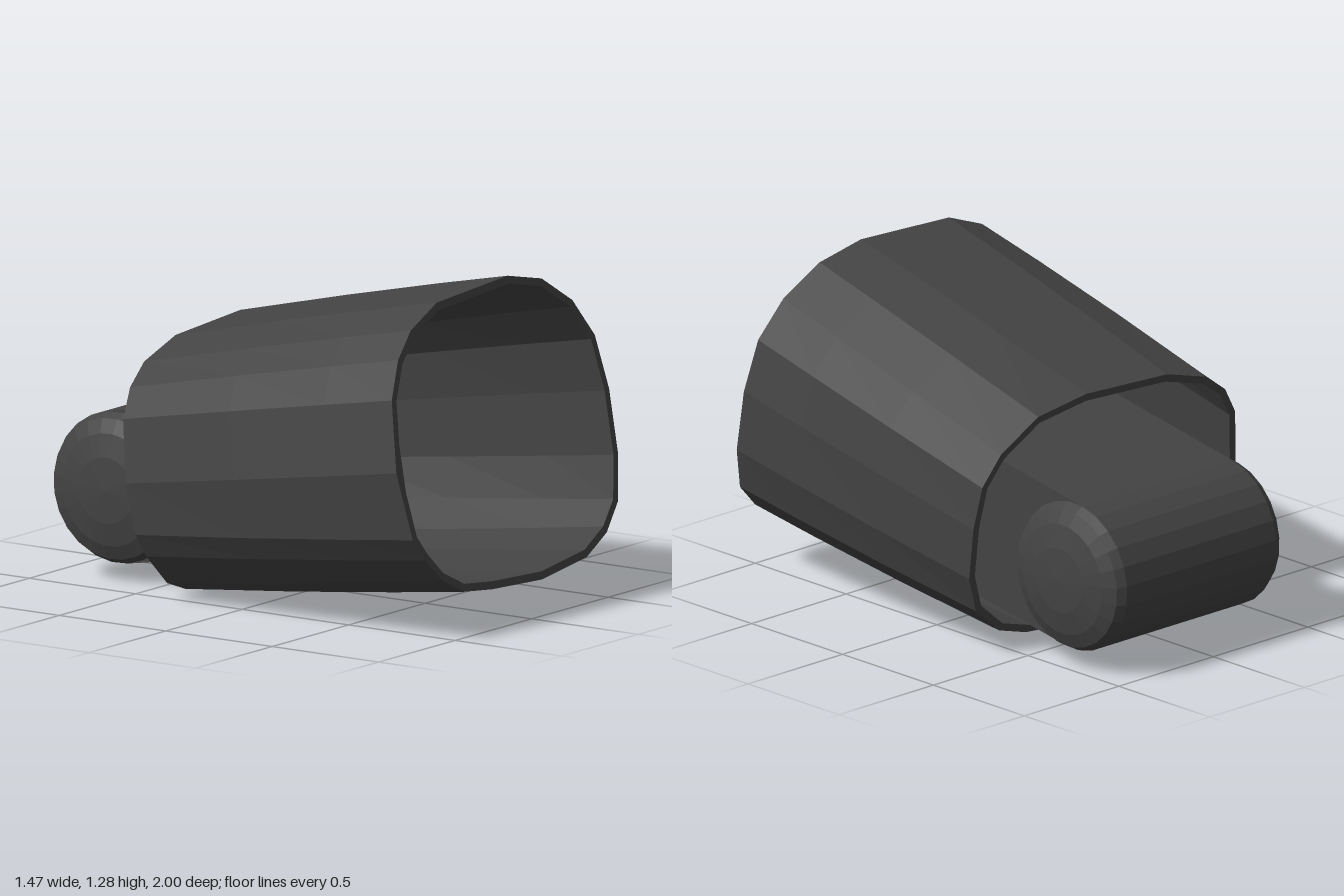
import * as THREE from 'three';

const material = new THREE.MeshStandardMaterial({ color: 0x444444, flatShading: true });

// Outlines [x, y] of the sleeve's two mouths, counter-clockwise from the top
const FRONT = [
  [0.16, 1.285], [-0.31, 1.26], [-0.5, 1.185], [-0.61, 1.09], [-0.69, 0.95],
  [-0.735, 0.68], [-0.7, 0.42], [-0.645, 0.335], [-0.56, 0.245], [-0.43, 0.18],
  [-0.25, 0.16], [0.07, 0.145], [0.37, 0.18], [0.52, 0.25], [0.62, 0.35],
  [0.67, 0.52], [0.68, 0.77], [0.645, 0.98], [0.54, 1.13], [0.37, 1.24],
];
const BACK = [
  [0.2, 0.99], [-0.23, 0.965], [-0.45, 0.9], [-0.56, 0.82], [-0.63, 0.71],
  [-0.67, 0.47], [-0.65, 0.27], [-0.6, 0.18], [-0.49, 0.06], [-0.38, 0.02],
  [-0.26, 0.003], [0.08, 0.005], [0.37, 0.03], [0.52, 0.075], [0.66, 0.19],
  [0.72, 0.34], [0.73, 0.55], [0.71, 0.72], [0.63, 0.84], [0.45, 0.955],
];
const WALL = 0.03;

// Shrinks an outline by the wall thickness
function inset(ring) {
  const n = ring.length;
  return ring.map(([x, y], i) => {
    const a = ring[(i + n - 1) % n], b = ring[(i + 1) % n];
    const dx = b[0] - a[0], dy = b[1] - a[1], len = Math.hypot(dx, dy);
    return [x - (dy / len) * WALL, y + (dx / len) * WALL];
  });
}

// Lofts a leaning ring at t = 0 (front mouth) to 1 (back mouth), slightly bulged between
function loftRing(front, back, t) {
  const bulge = 1 + 0.045 * t * (1 - t);
  const cy = 0.715 + (0.4965 - 0.715) * t;
  return front.map(([fx, fy], i) => {
    const [bx, by] = back[i];
    const zf = 1 - 0.2 * (fy - 0.145);
    const zb = -0.35 - 0.163 * by;
    const x = fx + (bx - fx) * t, y = fy + (by - fy) * t;
    return [x * bulge, cy + (y - cy) * bulge, zf + (zb - zf) * t];
  });
}

function createSleeve() {
  const innerFront = inset(FRONT), innerBack = inset(BACK);
  const steps = [0, 0.25, 0.6, 1];
  // Outside from front to back, then inside from back to front
  const rings = [
    ...steps.map((t) => loftRing(FRONT, BACK, t)),
    ...steps.slice().reverse().map((t) => loftRing(innerFront, innerBack, t)),
  ];
  const n = FRONT.length, index = [];
  for (let i = 0; i < rings.length; i++) {
    const k = (i + 1) % rings.length;
    for (let j = 0; j < n; j++) {
      const m = (j + 1) % n;
      const a = i * n + j, b = k * n + j, c = k * n + m, d = i * n + m;
      index.push(a, b, d, b, c, d);
    }
  }
  const geometry = new THREE.BufferGeometry();
  geometry.setAttribute('position', new THREE.Float32BufferAttribute(rings.flat(2), 3));
  geometry.setIndex(index);
  geometry.computeVertexNormals();
  const mesh = new THREE.Mesh(geometry, material);
  mesh.name = 'sleeve';
  return mesh;
}

function createHinge() {
  const hinge = new THREE.Group();
  hinge.name = 'hinge';
  const radius = 0.295, halfWidth = 0.395, length = 0.766;

  // Barrel with domed end caps, turned about the x axis
  const cap = [[radius, halfWidth], [0.275, 0.43], [0.22, 0.455], [0.13, 0.474], [0, 0.482]];
  const profile = [
    ...cap.slice().reverse().map(([r, h]) => new THREE.Vector2(r, -h)),
    ...cap.map(([r, h]) => new THREE.Vector2(r, h)),
  ];
  const barrel = new THREE.Mesh(new THREE.LatheGeometry(profile, 24), material);
  barrel.name = 'barrel';
  barrel.rotation.z = -Math.PI / 2;

  // Block running forward from the barrel into the sleeve
  const block = new THREE.Mesh(new THREE.BoxGeometry(halfWidth * 2, radius * 2, length), material);
  block.name = 'block';
  block.position.z = length / 2;

  hinge.add(barrel, block);
  hinge.position.set(0.06, 0.365, -0.705);
  hinge.rotation.x = -0.171;
  return hinge;
}

export function createModel() {
  const model = new THREE.Group();
  model.name = 'hingedSleeve';
  model.add(createSleeve(), createHinge());
  return model;
}
